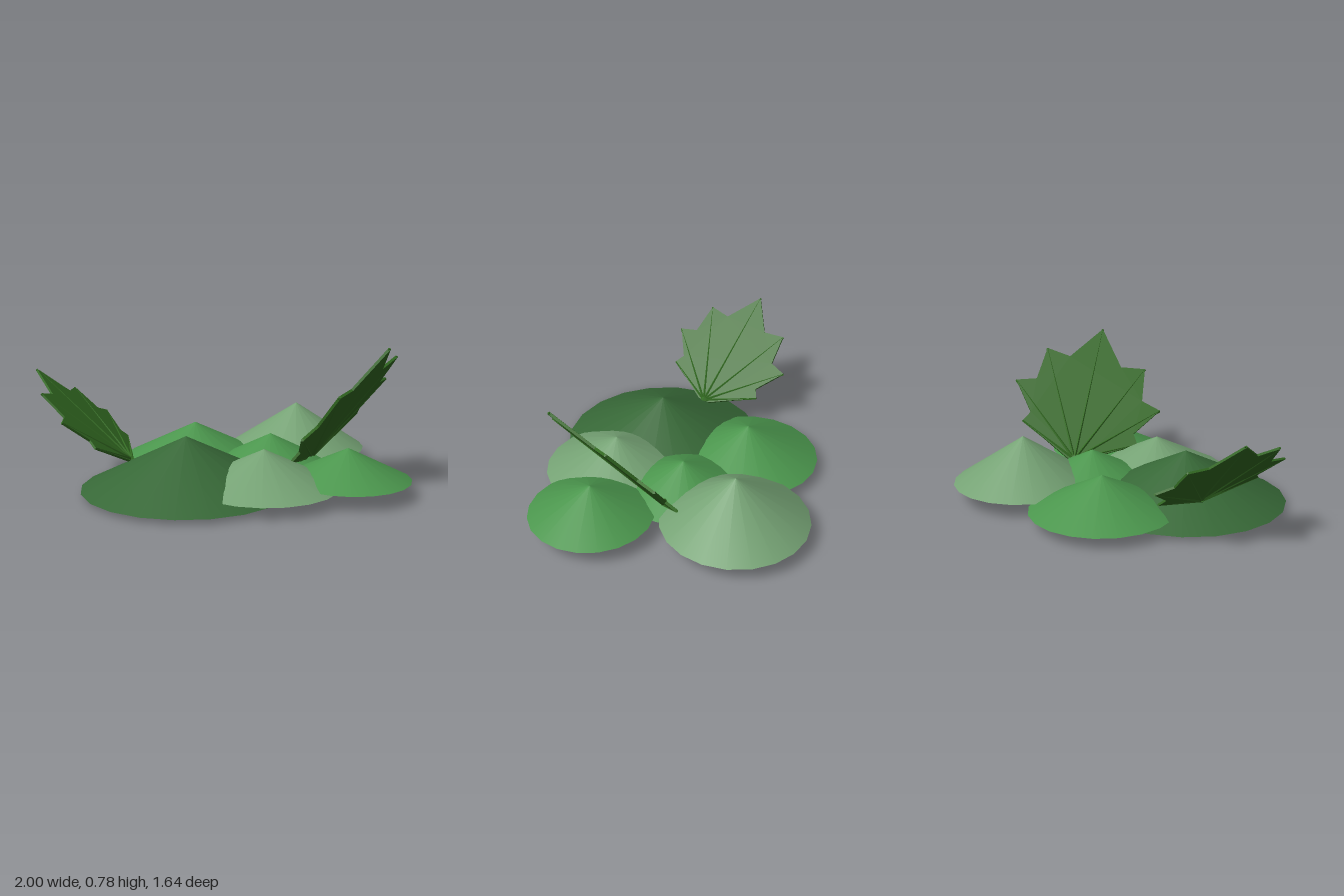
import * as THREE from 'three';

const mat = (color, flatShading = false) => {
  const m = new THREE.MeshStandardMaterial({ flatShading });
  m.color.set(color);
  return m;
};

// Half outline of a leaf (side, along), main tip at length 1
const half = [
  [0.05, 0], [0.40, 0.2], [0.36, 0.27], [0.508, 0.48],
  [0.374, 0.522], [0.35, 0.765], [0.183, 0.74],
];
const veinTips = [[0, 1], [0.35, 0.765], [0.508, 0.48], [0.40, 0.2]];

// Thin tapered rod between two points of the leaf plane
function rod(a, b, r0, r1, sides, material, name) {
  const from = new THREE.Vector3(a[0], a[1], 0);
  const dir = new THREE.Vector3(b[0], b[1], 0).sub(from);
  const mesh = new THREE.Mesh(new THREE.CylinderGeometry(r1, r0, dir.length(), sides), material);
  mesh.position.copy(from).addScaledVector(dir, 0.5);
  mesh.quaternion.setFromUnitVectors(new THREE.Vector3(0, 1, 0), dir.normalize());
  mesh.name = name;
  return mesh;
}

// Lobed leaf with raised veins and a short stem
function makeLeaf(name, base, axis, normal, size) {
  const leaf = new THREE.Group();
  leaf.name = name;
  const green = mat(0x336b22, true);

  const outline = [...half, [0, 1], ...half.map(([x, y]) => [-x, y]).reverse()];
  const shape = new THREE.Shape(outline.map(([x, y]) => new THREE.Vector2(x, y)));
  const depth = 0.016;
  const blade = new THREE.Mesh(
    new THREE.ExtrudeGeometry(shape, { depth, bevelEnabled: false }).translate(0, 0, -depth / 2), green);
  blade.name = 'leafBlade';
  leaf.add(blade);

  for (const [x, y] of veinTips)
    for (const s of x ? [1, -1] : [1])
      leaf.add(rod([0, 0], [s * x, y], 0.018, 0.009, 4, green, 'leafVein'));
  leaf.add(rod([0, -0.14], [0, 0.02], 0.045, 0.025, 6, green, 'leafStem'));

  // Orient: y along the main vein, z along the leaf's normal
  const y = new THREE.Vector3(...axis).normalize();
  const x = y.clone().cross(new THREE.Vector3(...normal)).normalize();
  const z = x.clone().cross(y);
  leaf.quaternion.setFromRotationMatrix(new THREE.Matrix4().makeBasis(x, y, z));
  leaf.position.set(...base);
  leaf.scale.setScalar(size);
  return leaf;
}

export function createModel() {
  const model = new THREE.Group();
  model.name = 'leafyMounds';

  const dark = mat(0x376837), mid = mat(0x4b964d), pale = mat(0x75a274);

  // Low cone mounds: name, x, z, radius, base height, apex height, material
  const mounds = [
    ['largeMound', -0.17, 0.27, 0.55, 0.04, 0.313, dark],
    ['backRightMound', -0.17, -0.255, 0.39, 0.08, 0.27, mid],
    ['backLeftMound', 0.4, -0.43, 0.39, 0.1, 0.355, pale],
    ['frontMound', 0.235, 0.345, 0.39, 0.08, 0.27, pale],
    ['leftMound', 0.665, 0.26, 0.33, 0.1, 0.262, mid],
    ['centreMound', 0.26, -0.07, 0.33, 0.09, 0.255, mid],
  ];
  for (const [name, x, z, r, y0, y1, material] of mounds) {
    const mound = new THREE.Mesh(new THREE.ConeGeometry(r, y1 - y0, 20), material);
    mound.position.set(x, (y0 + y1) / 2, z);
    mound.name = name;
    model.add(mound);
  }

  // Two upright leaves
  model.add(makeLeaf('rightLeaf', [-0.475, 0.15, 0.158], [-0.525, 0.46, -0.128], [0.66, 0.75, 0], 0.71));
  model.add(makeLeaf('leftLeaf', [0.48, 0.13, -0.07], [0.37, 0.66, 0.41], [-0.725, 0.615, -0.31], 0.86));
  return model;
}
